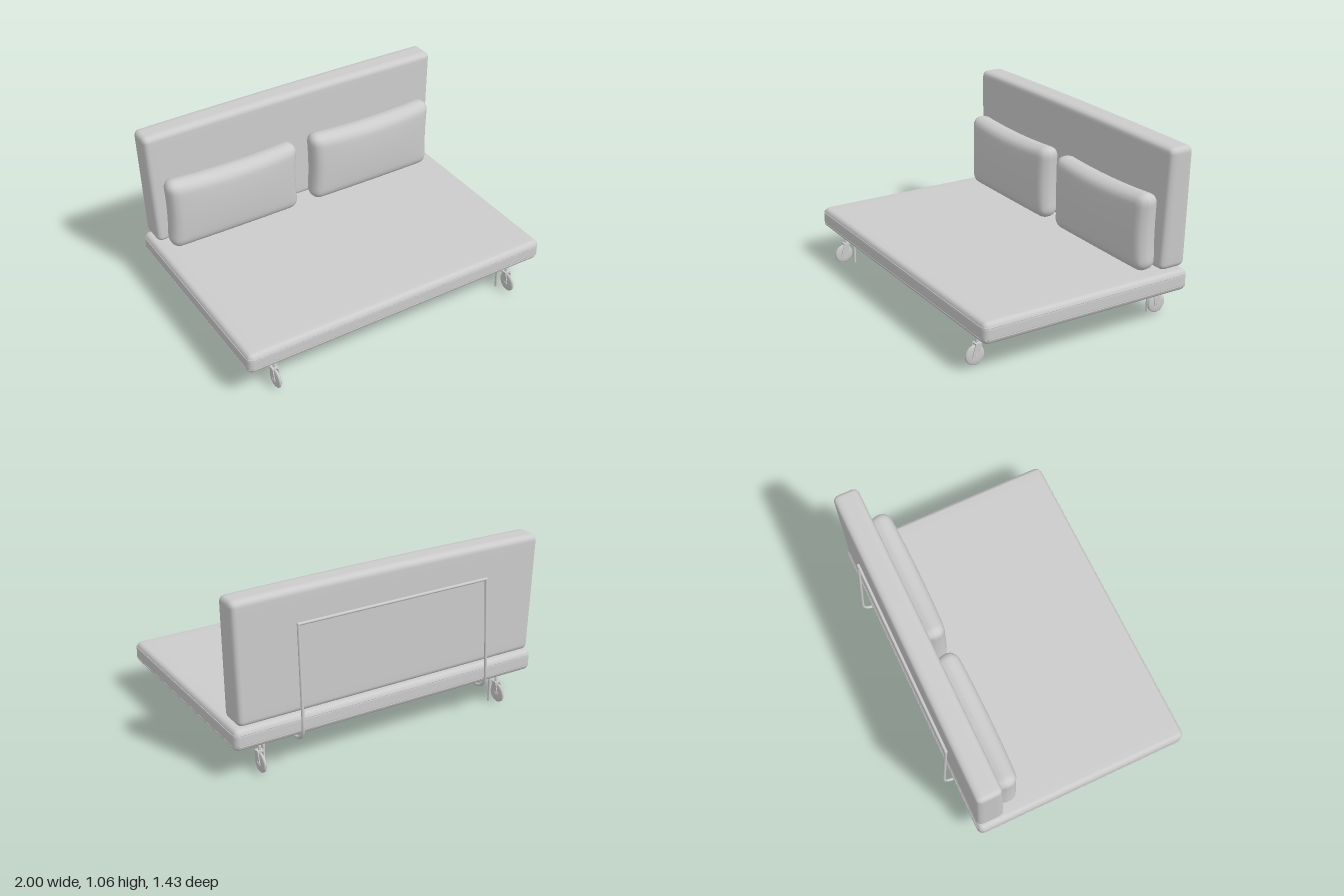
import * as THREE from 'three';
import { mergeVertices } from 'three/addons/utils/BufferGeometryUtils.js';

const material = new THREE.MeshStandardMaterial({ color: 0xcccccc });

function add(parent, name, geometry, x = 0, y = 0, z = 0) {
  const mesh = new THREE.Mesh(geometry, material);
  mesh.name = name;
  mesh.position.set(x, y, z);
  parent.add(mesh);
  return mesh;
}

// Soft box: rounded edges of radius r, then shaped by warp(point, u, v)
function cushion(w, h, d, r, segments, warp = () => {}) {
  const half = new THREE.Vector3(w / 2, h / 2, d / 2);
  const inner = half.clone().subScalar(r);
  let geo = new THREE.BoxGeometry(w, h, d, ...segments);
  geo.deleteAttribute('uv');
  geo.deleteAttribute('normal');
  const pos = geo.attributes.position;
  const p = new THREE.Vector3();
  // Gather the grid lines toward the edges so that the rounding stays smooth
  const spread = (t, a, b) => {
    const s = t / a, k = 0.7;
    return Math.abs(s) < k ? (s / k) * b : Math.sign(s) * (b + ((Math.abs(s) - k) / (1 - k)) * (a - b));
  };
  for (let i = 0; i < pos.count; i++) {
    p.fromBufferAttribute(pos, i);
    p.set(spread(p.x, half.x, inner.x), spread(p.y, half.y, inner.y), spread(p.z, half.z, inner.z));
    const core = p.clone().clamp(inner.clone().negate(), inner);
    p.sub(core).normalize().multiplyScalar(r).add(core);
    warp(p, p.x / half.x, p.y / half.y);
    pos.setXYZ(i, p.x, p.y, p.z);
  }
  geo = mergeVertices(geo, 1e-5);
  geo.computeVertexNormals();
  return geo;
}

// Polyline with rounded bends of radius r
function bentPath(points, r) {
  const pts = points.map((p) => new THREE.Vector3(...p));
  const path = new THREE.CurvePath();
  let last = pts[0];
  for (let i = 1; i < pts.length - 1; i++) {
    const a = pts[i].clone().add(pts[i - 1].clone().sub(pts[i]).setLength(r));
    const b = pts[i].clone().add(pts[i + 1].clone().sub(pts[i]).setLength(r));
    path.add(new THREE.LineCurve3(last, a));
    path.add(new THREE.QuadraticBezierCurve3(a, pts[i], b));
    last = b;
  }
  path.add(new THREE.LineCurve3(last, pts[pts.length - 1]));
  return path;
}

const rod = (points, bend, radius = 0.009) => new THREE.TubeGeometry(bentPath(points, bend), 120, radius, 10);

// Piping that follows the outline of the mattress
function piping(w, d, r, radius) {
  const x = w / 2, z = d / 2;
  const loop = [[0, 0, z], [x, 0, z], [x, 0, -z], [-x, 0, -z], [-x, 0, z], [0, 0, z]];
  return new THREE.TubeGeometry(bentPath(loop, r), 240, radius, 6);
}

// Wheel with a fork plate on each side, its axle at the origin
function castor() {
  const g = new THREE.Group();
  g.name = 'castor';
  const profile = [[0, -0.012], [0.03, -0.012], [0.052, -0.009], [0.058, -0.004],
    [0.058, 0.004], [0.052, 0.009], [0.03, 0.012], [0, 0.012]];
  const wheel = add(g, 'wheel', new THREE.LatheGeometry(profile.map((p) => new THREE.Vector2(...p)), 32));
  wheel.rotation.z = Math.PI / 2;
  const axle = add(g, 'axle', new THREE.CylinderGeometry(0.01, 0.01, 0.046, 16));
  axle.rotation.z = Math.PI / 2;

  const plate = new THREE.Shape();
  plate.moveTo(-0.022, 0);
  plate.absarc(0, 0, 0.022, Math.PI, Math.PI * 2, false);
  plate.lineTo(0.002, 0.07);
  plate.lineTo(-0.034, 0.07);
  plate.closePath();
  const plateGeo = new THREE.ExtrudeGeometry(plate, { depth: 0.005, bevelEnabled: false, curveSegments: 10 });
  plateGeo.translate(0, 0, -0.0025);
  for (const s of [-1, 1]) {
    add(g, 'forkPlate', plateGeo, s * 0.017).rotation.y = Math.PI / 2;
  }
  add(g, 'forkTop', new THREE.BoxGeometry(0.039, 0.01, 0.036), 0, 0.066, 0.016);
  return g;
}

export function createModel() {
  const model = new THREE.Group();
  const sofa = new THREE.Group();
  sofa.name = 'sofaBed';
  sofa.rotation.y = -0.01;
  model.add(sofa);

  // Mattress with two lines of piping
  add(sofa, 'mattress', cushion(1.985, 0.13, 1.345, 0.038, [24, 14, 24]), 0, 0.265, 0.027);
  for (const y of [0.232, 0.3]) {
    add(sofa, 'piping', piping(1.982, 1.342, 0.04, 0.003), 0, y, 0.027);
  }

  // Backrest: narrower and thicker toward the bottom, slightly crowned on top
  const backrest = cushion(1.98, 0.72, 0.16, 0.035, [30, 20, 12], (p, u, v) => {
    p.x *= 1 - 0.0125 * (1 - v);
    if (p.z > 0) p.z += 0.009 * (1 - v) - 0.006;
    if (v > 0) p.y += 0.008 * v * (1 - u * u);
  });
  add(sofa, 'backrest', backrest, 0, 0.7, -0.56);

  // Two pillows with pinched sides and a full front
  const pillow = cushion(0.87, 0.462, 0.155, 0.065, [32, 24, 14], (p, u, v) => {
    p.x *= 1 - 0.028 * (1 - v * v);
    if (v > 0) p.y -= 0.02 * v * (1 - u * u);
    const full = (1 - u * u) * (1 - v * v);
    if (p.z > 0) p.z *= 0.72 + 0.32 * Math.sqrt(Math.max(full, 0));
  });
  for (const s of [-1, 1]) add(sofa, 'pillow', pillow, s * 0.483, 0.56, -0.415);

  // Under-frame: side rods turn down into legs and castor stems
  const railY = 0.188, frontZ = 0.59, backZ = -0.54;
  for (const s of [-1, 1]) {
    add(sofa, 'sideLegRod', rod([[s * 0.772, 0.005, frontZ], [s * 0.772, railY, frontZ],
      [s * 0.772, railY, backZ], [s * 0.772, 0.005, backZ]], 0.05));
    add(sofa, 'sideCastorRod', rod([[s * 0.805, 0.13, 0.632], [s * 0.805, railY, 0.632],
      [s * 0.805, railY, -0.558], [s * 0.805, 0.13, -0.558]], 0.05));
    for (const [z, turn] of [[0.648, Math.PI], [-0.574, 0]]) {
      const c = castor();
      c.position.set(s * 0.807, 0.064, z);
      c.rotation.y = turn;
      sofa.add(c);
    }
  }
  for (const z of [frontZ - 0.04, backZ + 0.04]) {
    add(sofa, 'crossRail', rod([[-0.805, railY, z], [0, railY, z], [0.805, railY, z]], 0.05));
  }

  // Hoop that rises behind the backrest
  const side = (s) => [[s * 0.61, railY, backZ + 0.04], [s * 0.61, railY, -0.705], [s * 0.61, 0.87, -0.658]];
  const [left, right] = [side(-1), side(1).reverse()];
  for (const path of [left, right]) add(sofa, 'hoopSide', rod(path, 0.11));
  add(sofa, 'hoopTop', rod([left[2], [0, 0.87, -0.658], right[0]], 0.05));
  for (const s of [-1, 1]) add(sofa, 'hoopCorner', new THREE.SphereGeometry(0.0095, 12, 8), s * 0.61, 0.87, -0.658);

  return model;
}
